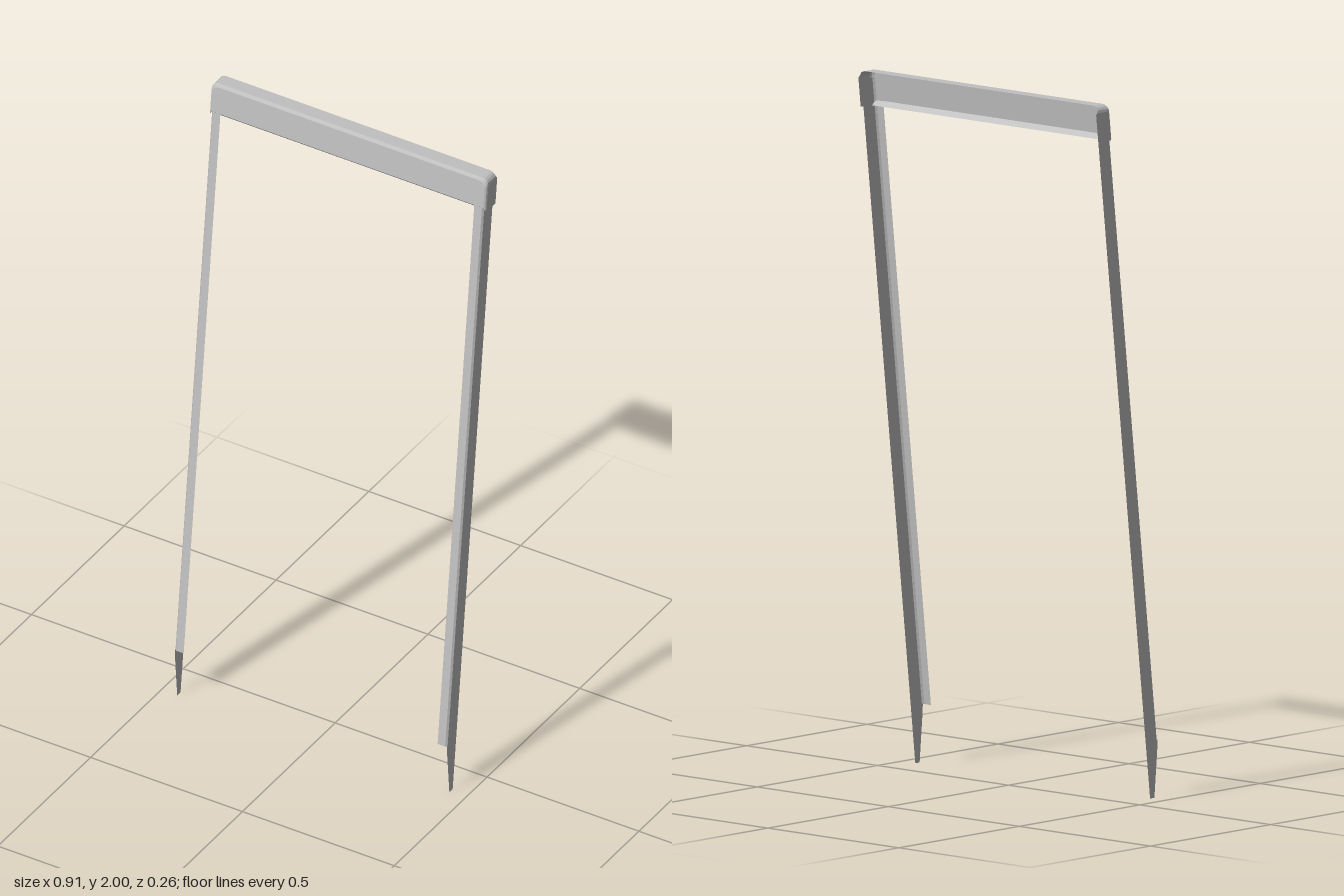
import * as THREE from 'three';

// Point on the leaning frame: d is the depth behind the sloped front plane
const P = (x, y, d) => [x, y, 0.152 - 0.1135 * y - d];

// Flat-shaded sheet through rows of points; quads are counter-clockwise
function sheet(rows) {
  const pos = [];
  for (let i = 0; i < rows.length - 1; i++) {
    for (let j = 0; j < rows[i].length - 1; j++) {
      const a = rows[i][j], b = rows[i][j + 1], c = rows[i + 1][j + 1], d = rows[i + 1][j];
      pos.push(...a, ...b, ...c, ...a, ...c, ...d);
    }
  }
  const g = new THREE.BufferGeometry();
  g.setAttribute('position', new THREE.Float32BufferAttribute(pos, 3));
  g.computeVertexNormals();
  return g;
}

export function createModel() {
  const model = new THREE.Group();
  const metal = new THREE.MeshStandardMaterial({ color: 0xc0c0c0, side: THREE.DoubleSide });
  const add = (parent, name, geometry) => {
    const mesh = new THREE.Mesh(geometry, metal);
    mesh.name = name;
    parent.add(mesh);
  };

  // Legs: folded angle sections whose outer plates taper to ground spikes
  for (const side of [1, -1]) {
    const leg = new THREE.Group();
    leg.name = side > 0 ? 'leftLeg' : 'rightLeg';
    const row = (section, y) => {
      const points = section.map(([x, d]) => P(side * x, y, d));
      return side > 0 ? points : points.reverse();
    };
    const angle = [[0.418, 0.001], [0.443, 0.001], [0.448, 0.006], [0.448, 0.052]];
    add(leg, 'angleSection', sheet([row(angle, 0.165), row(angle, 1.975)]));
    add(leg, 'spike', sheet([
      row([[0.448, 0.034], [0.448, 0.052]], 0),
      row([[0.448, 0.006], [0.448, 0.052]], 0.14),
      row([[0.448, 0.002], [0.448, 0.052]], 0.165),
    ]));
    model.add(leg);
  }

  // Crossbar outline: up one end, over the rounded corners, down the other end
  const outline = (inset, bottom, depth) => {
    const w = 0.455 - inset, top = 2 - inset, r = 0.02;
    const half = [[w, bottom]];
    for (let k = 0; k <= 4; k++) {
      const t = (k / 4) * Math.PI / 2;
      half.push([w - r + r * Math.cos(t), top - r + r * Math.sin(t)]);
    }
    const left = half.map(([x, y]) => P(-x, y, depth(y)));
    const right = half.map(([x, y]) => P(x, y, depth(y))).reverse();
    return [...left, ...right];
  };
  const face = outline(0.007, 1.91, () => 0);

  const crossbar = new THREE.Group();
  crossbar.name = 'crossbar';
  // Front plate with a small lip folded back along its lower edge
  const n = face.length;
  const plate = [[P(-0.45, 1.896, 0.016), P(0.45, 1.896, 0.016)]];
  for (let k = 0; k < n / 2; k++) plate.push([face[k], face[n - 1 - k]]);
  add(crossbar, 'frontPlate', sheet(plate));
  // Softened front edge, top flange and end caps
  add(crossbar, 'topAndEnds', sheet([
    face,
    outline(0.002, 1.9, () => 0.003),
    outline(0, 1.896, () => 0.008),
    outline(0, 1.896, (y) => (y < 1.985 ? 0.056 : 0.049)),
  ]));
  model.add(crossbar);

  return model;
}
